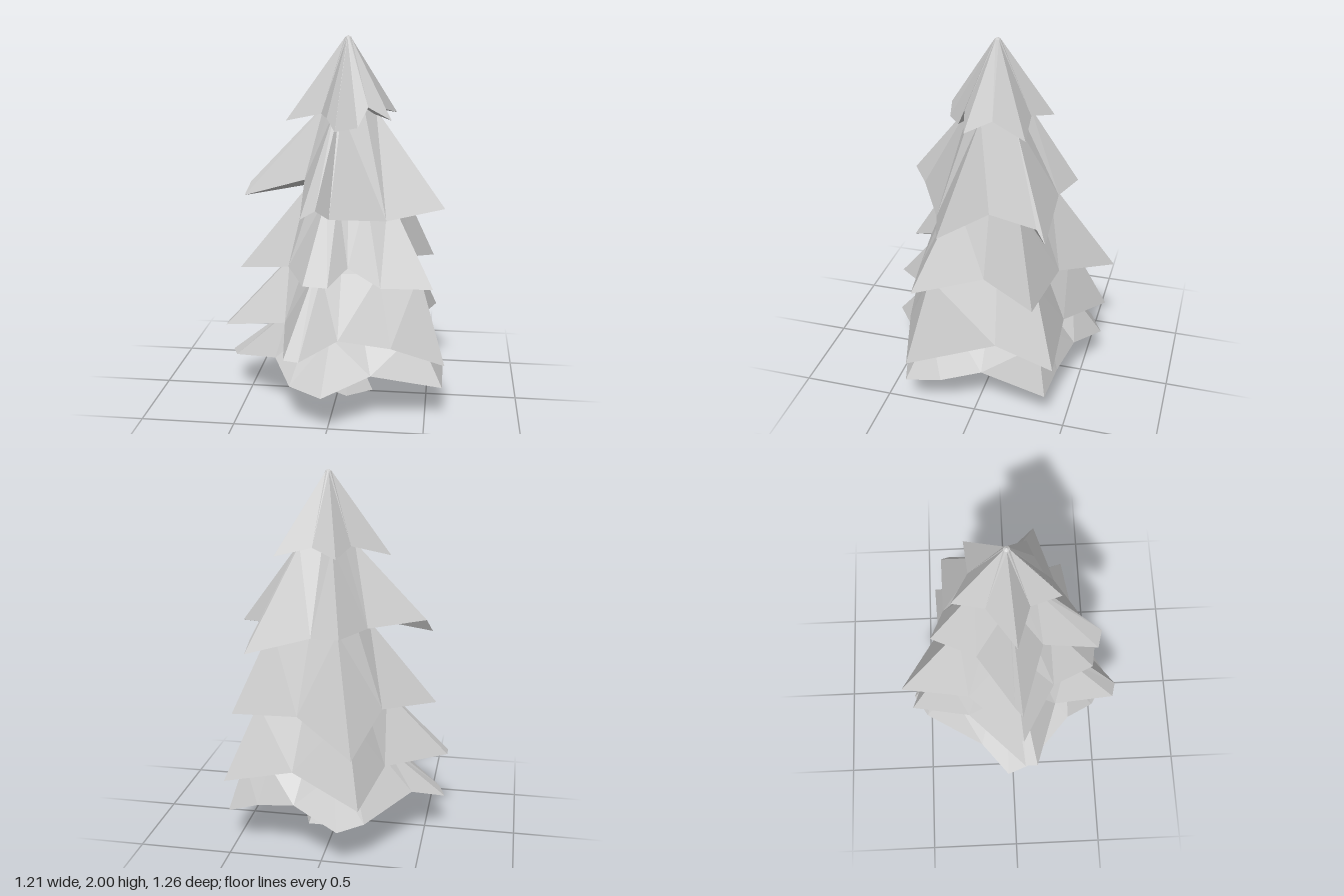
import * as THREE from 'three';

const CX = 0.05; // the stem leans slightly off centre

// One jagged skirt: a ring on top, a star-shaped rim, and a hollow underside.
// The rim runs front, left side (+x), back, right side (-x); each entry is
// x, y, z and, for branch ridges, how far out the ridge starts.
function makeTier(name, topY, topRadius, hollowY, rim, material) {
  const pos = [];
  const apex = [CX, topY + topRadius * 0.6, -0.01];
  const hollow = [CX, hollowY, 0];
  const corner = rim.map(([x, y, z]) => [x, y, z]);
  const ring = rim.map(([x, , z, start = topRadius]) => {
    const r = Math.hypot(x - CX, z);
    return [CX + (x - CX) / r * start, topY, -0.01 + z / r * start];
  });
  const tri = (a, b, c) => pos.push(...a, ...b, ...c);
  corner.forEach((a, i) => {
    const j = (i + 1) % corner.length;
    const b = corner[j];
    tri(ring[i], ring[j], apex);
    // split each panel from the ridge top down into the gap
    if (Math.hypot(a[0] - CX, a[2]) > Math.hypot(b[0] - CX, b[2])) {
      tri(a, b, ring[i]);
      tri(b, ring[j], ring[i]);
    } else {
      tri(a, b, ring[j]);
      tri(a, ring[j], ring[i]);
    }
    tri(b, a, hollow);
  });
  const geo = new THREE.BufferGeometry();
  geo.setAttribute('position', new THREE.Float32BufferAttribute(pos, 3));
  geo.computeVertexNormals();
  const mesh = new THREE.Mesh(geo, material);
  mesh.name = name;
  return mesh;
}

export function createModel() {
  const tree = new THREE.Group();
  tree.name = 'pineTree';
  const material = new THREE.MeshStandardMaterial({ color: 0xcccccc, flatShading: true });
  const add = (...args) => tree.add(makeTier(...args, material));

  // Crown
  add('crownTier', 1.99, 0.016, 1.64, [
    [-0.03, 1.60, 0.26], [0.01, 1.53, 0.26], [0.12, 1.54, 0.18], [0.17, 1.64, 0.13],
    [0.29, 1.57, 0.10], [0.22, 1.62, -0.03], [0.30, 1.57, -0.22], [0.10, 1.62, -0.20],
    [-0.04, 1.58, -0.29], [-0.09, 1.62, -0.12], [-0.28, 1.55, 0.03], [-0.08, 1.60, 0.10]]);

  // Upper branches
  add('upperTier', 1.62, 0.12, 1.24, [
    [-0.14, 1.12, 0.47, 0.15], [-0.06, 1.17, 0.49, 0.15], [0.00, 1.11, 0.42, 0.15],
    [0.28, 1.07, 0.26, 0.15], [0.58, 1.12, 0.16, 0.16], [0.36, 1.17, -0.05],
    [0.41, 1.15, -0.31, 0.18], [0.43, 1.08, -0.36, 0.18], [0.08, 1.18, -0.35],
    [-0.08, 1.20, -0.42, 0.17], [-0.19, 1.20, -0.18], [-0.48, 1.21, 0.01, 0.14],
    [-0.51, 1.14, 0.05, 0.13], [-0.16, 1.26, 0.17]]);

  // Middle branches
  add('middleTier', 1.19, 0.22, 0.84, [
    [-0.13, 0.77, 0.47, 0.24], [0.00, 0.77, 0.49, 0.24], [0.09, 0.84, 0.36],
    [0.26, 0.74, 0.37, 0.24], [0.53, 0.73, 0.33, 0.28], [0.40, 0.80, -0.03],
    [0.52, 0.73, -0.32, 0.33], [0.15, 0.76, -0.38], [-0.18, 0.64, -0.63, 0.28],
    [-0.28, 0.78, -0.24], [-0.54, 0.73, 0.06, 0.22], [-0.24, 0.80, 0.24]]);

  // Lower branches
  add('lowerTier', 0.79, 0.28, 0.53, [
    [-0.21, 0.42, 0.61, 0.36], [-0.13, 0.42, 0.63, 0.36], [0.05, 0.48, 0.47, 0.31],
    [0.32, 0.43, 0.42, 0.36], [0.60, 0.32, 0.35, 0.48], [0.50, 0.46, -0.12, 0.31],
    [0.54, 0.39, -0.44, 0.44], [0.17, 0.46, -0.42], [-0.21, 0.35, -0.59, 0.41],
    [-0.30, 0.46, -0.25], [-0.61, 0.42, 0.07, 0.32], [-0.61, 0.42, 0.14, 0.32],
    [-0.26, 0.49, 0.26]]);

  // Bottom branches
  add('bottomTier', 0.47, 0.33, 0.36, [
    [-0.02, 0.22, 0.61, 0.41], [0.22, 0.29, 0.46], [0.59, 0.20, 0.36, 0.48],
    [0.59, 0.24, 0.16, 0.41], [0.53, 0.29, -0.05], [0.53, 0.20, -0.40, 0.52],
    [0.36, 0.26, -0.43, 0.44], [0.15, 0.30, -0.48], [-0.10, 0.22, -0.59, 0.43],
    [-0.23, 0.24, -0.51, 0.40], [-0.44, 0.29, -0.18], [-0.61, 0.21, -0.03, 0.33],
    [-0.57, 0.22, 0.08, 0.33], [-0.30, 0.32, 0.34], [-0.20, 0.23, 0.50, 0.39]]);

  // Trunk, flared at the foot
  const profile = [[0, 0], [0.145, 0.02], [0.075, 0.16], [0.09, 0.22], [0.12, 0.35]]
    .map(([r, y]) => new THREE.Vector2(r, y));
  const trunk = new THREE.Mesh(new THREE.LatheGeometry(profile, 5), material);
  trunk.name = 'trunk';
  trunk.position.set(0.06, 0, -0.015);
  tree.add(trunk);

  return tree;
}
